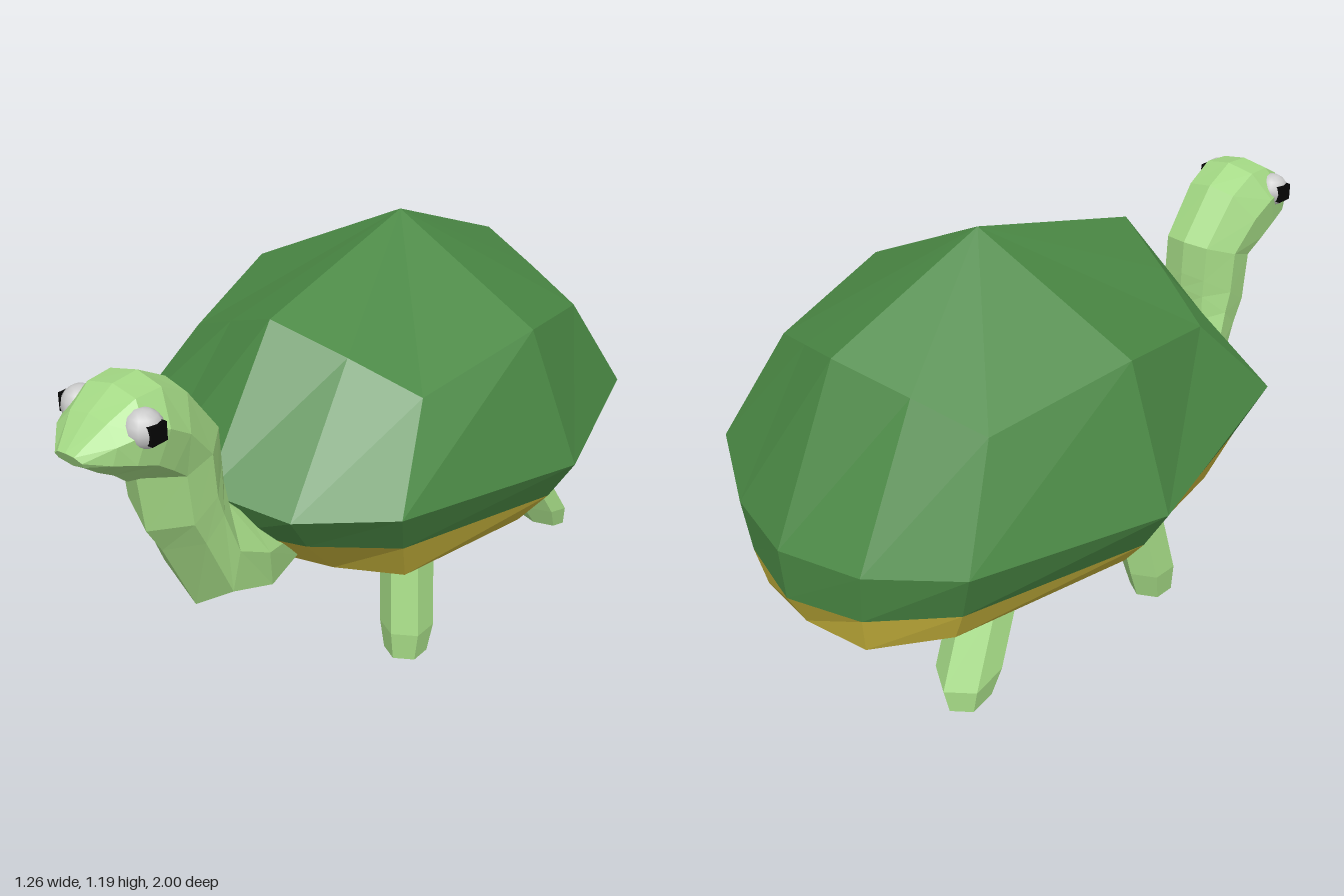
import * as THREE from 'three';

const mat = (color) => new THREE.MeshStandardMaterial({ color, flatShading: true });

// Skin a series of closed rings (arrays of Vector3 of equal length) with flat facets
function loft(rings) {
  const pos = [];
  const tri = (a, b, c) => {
    if (a.equals(b) || b.equals(c) || c.equals(a)) return;
    for (const p of [a, b, c]) pos.push(p.x, p.y, p.z);
  };
  for (let r = 0; r < rings.length - 1; r++) {
    const A = rings[r], B = rings[r + 1], n = A.length;
    for (let i = 0; i < n; i++) {
      const j = (i + 1) % n;
      tri(A[i], A[j], B[j]);
      tri(A[i], B[j], B[i]);
    }
  }
  const geo = new THREE.BufferGeometry();
  geo.setAttribute('position', new THREE.Float32BufferAttribute(pos, 3));
  geo.computeVertexNormals();
  return geo;
}

// Mirror a half outline (first and last points on x = 0) into a full ring
function mirrorRing(half) {
  const right = half.map(([x, y, z]) => new THREE.Vector3(x, y, z));
  const left = right.slice(1, -1).reverse().map((p) => new THREE.Vector3(-p.x, p.y, p.z));
  return [...right, ...left];
}

// Collapse a ring to one point, to close a loft
const point = (n, x, y, z) => Array.from({ length: n }, () => new THREE.Vector3(x, y, z));

export function createModel() {
  const model = new THREE.Group();
  const green = mat(0x4a8844), yellow = mat(0xc8b43c), skin = mat(0xa3d884);
  const grey = mat(0xcccccc), black = mat(0x050505);
  const add = (name, geo, material, parent = model) => {
    const mesh = new THREE.Mesh(geo, material);
    mesh.name = name;
    parent.add(mesh);
    return mesh;
  };

  // Shell outlines, each running from back centre round the side to front centre
  const upper = mirrorRing([[0, 1.0, -0.79], [0.2, 0.94, -0.72], [0.39, 0.88, -0.65],
    [0.48, 0.96, -0.25], [0.39, 0.88, 0.14], [0.2, 0.965, 0.21], [0, 1.045, 0.28]]);
  const rim = mirrorRing([[0, 0.55, -1], [0.24, 0.555, -0.94], [0.48, 0.6, -0.81],
    [0.63, 0.585, -0.27], [0.48, 0.645, 0.35], [0.24, 0.62, 0.5], [0, 0.65, 0.55]]);
  const bandTop = mirrorRing([[0, 0.4, -0.99], [0.22, 0.41, -0.93], [0.43, 0.46, -0.79],
    [0.555, 0.46, -0.27], [0.43, 0.505, 0.27], [0.22, 0.5, 0.41], [0, 0.49, 0.46]]);
  const bandBottom = mirrorRing([[0, 0.3, -0.94], [0.2, 0.3, -0.91], [0.39, 0.37, -0.78],
    [0.475, 0.36, -0.25], [0.39, 0.37, 0.2], [0.2, 0.355, 0.27], [0, 0.35, 0.31]]);
  const inner = bandBottom.map((p) => new THREE.Vector3(p.x * 0.85, 0.48, (p.z + 0.3) * 0.85 - 0.3));
  const n = rim.length;

  add('shell', loft([point(n, 0, 1.19, -0.3), upper, rim, bandTop]), green);
  add('shellBand', loft([bandTop, bandBottom]), yellow);
  add('underside', loft([bandBottom, inner, point(n, 0, 0.5, -0.3)]), green);

  // Neck and head: [top z, top y, bottom z, bottom y, half width] for each section
  const sections = [
    [0.15, 0.52, 0.2, 0.38, 0.1], [0.4, 0.56, 0.3, 0.34, 0.13], [0.5, 0.62, 0.44, 0.29, 0.15],
    [0.55, 0.67, 0.61, 0.335, 0.135], [0.55, 0.73, 0.72, 0.56, 0.125],
    [0.55, 0.78, 0.77, 0.64, 0.125], [0.555, 0.88, 0.79, 0.8, 0.125],
    [0.67, 1.03, 0.82, 0.805, 0.135], [0.76, 1.08, 0.86, 0.84, 0.14],
    [0.84, 1.075, 0.91, 0.87, 0.13], [0.92, 1.03, 0.95, 0.9, 0.1], [1.0, 0.96, 0.98, 0.92, 0.045],
  ];
  const profile = [[0, 0], [0.92, 0.25], [1, 0.6], [0.6, 0.93], [0, 1]];
  const body = sections.map(([tz, ty, bz, by, w]) => mirrorRing(
    profile.map(([u, v]) => [u * w, by + (ty - by) * v, bz + (tz - bz) * v])));
  body.push(point(body[0].length, 0, 0.94, 0.99));
  add('neckAndHead', loft(body), skin);

  // Six-sided legs: [x, y, z, radius] down the length, closed at the foot
  const legRing = (x, y, z, r, tilt) => Array.from({ length: 6 }, (_, i) => {
    const a = (i * Math.PI) / 3, dz = -Math.cos(a) * r;
    return new THREE.Vector3(x + Math.sin(a) * r, y + dz * tilt, z + dz);
  });
  const legs = {
    front: { tilt: 0, path: [[0.25, 0.49, 0, 0.07], [0.27, 0.34, 0.02, 0.077],
      [0.305, 0.1, 0.06, 0.077], [0.31, 0.015, 0.07, 0.062]] },
    back: { tilt: 0.3, path: [[0.25, 0.49, -0.48, 0.08], [0.27, 0.36, -0.555, 0.09],
      [0.31, 0.16, -0.67, 0.09], [0.325, 0.095, -0.69, 0.065]] },
  };
  for (const [s, side] of [[1, 'Left'], [-1, 'Right']]) {
    for (const [end, { path, tilt }] of Object.entries(legs)) {
      const rings = path.map(([x, y, z, r]) => legRing(x * s, y, z, r, tilt));
      const [fx, fy, fz] = path[path.length - 1];
      rings.push(point(6, fx * s, fy - 0.012, fz));
      add(`${end}${side}Leg`, loft(rings), skin);
    }

    // Eyeball with a square pupil facing outwards
    const eye = new THREE.Group();
    eye.name = `eye${side}`;
    eye.position.set(0.103 * s, 0.995, 0.85);
    const ball = new THREE.SphereGeometry(0.05, 12, 8);
    add('eyeball', ball, new THREE.MeshStandardMaterial({ color: 0xcccccc }), eye);
    add('pupil', new THREE.BoxGeometry(0.02, 0.048, 0.05), black, eye).position.x = 0.04 * s;
    model.add(eye);
  }
  return model;
}
